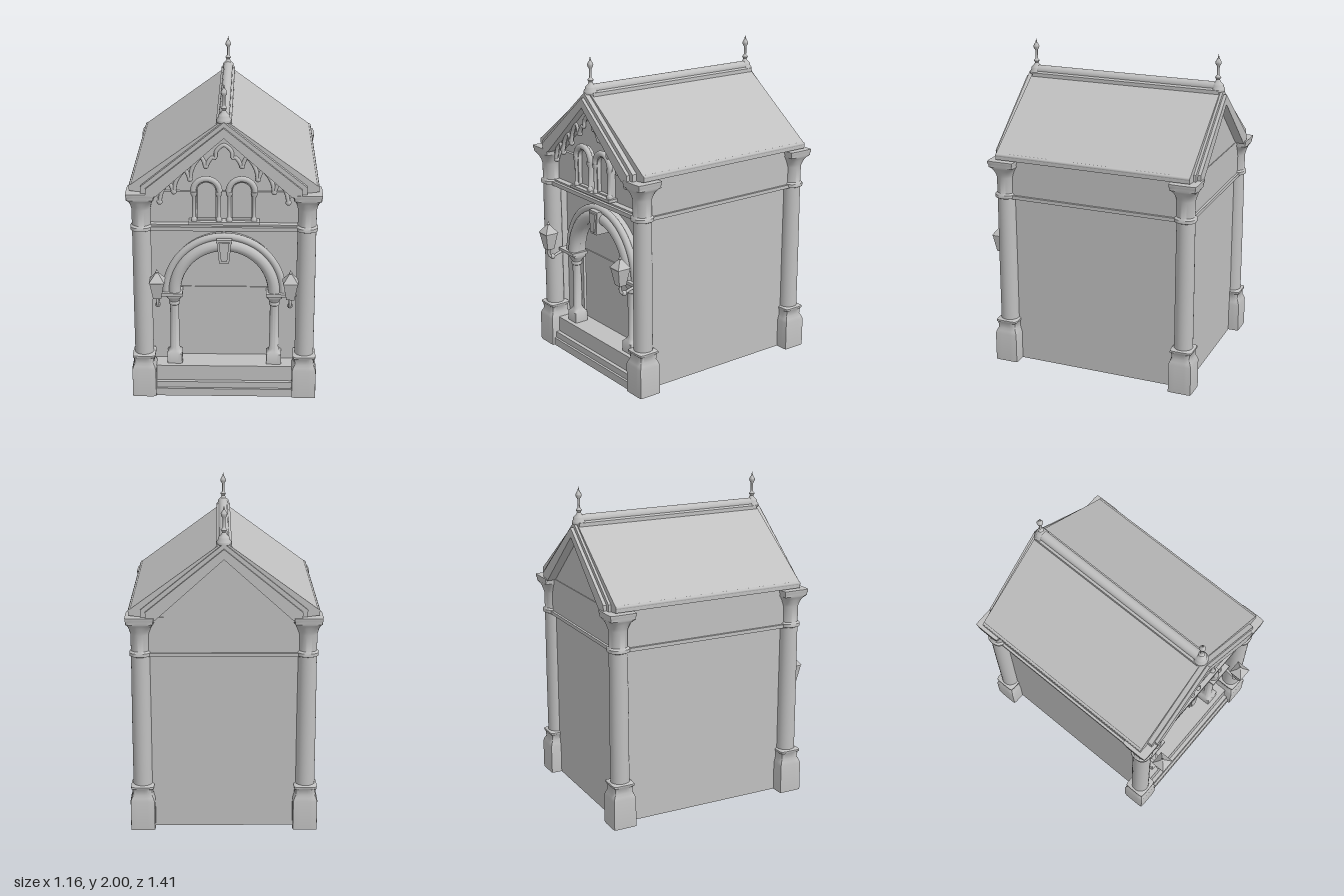
import * as THREE from 'three';
import { toCreasedNormals } from 'three/addons/utils/BufferGeometryUtils.js';

const stone = new THREE.MeshStandardMaterial({ color: 0xc0c0c0, side: THREE.DoubleSide });
stone.name = 'stone';

export function createModel() {
  const root = new THREE.Group();
  root.name = 'gabledPavilion';

  const add = (name, geo, x = 0, y = 0, z = 0, parent = root) => {
    const m = new THREE.Mesh(geo, stone);
    m.name = name;
    m.position.set(x, y, z);
    parent.add(m);
    return m;
  };
  // box given by its lower and upper corners
  const block = (name, x0, x1, y0, y1, z0, z1, parent = root) =>
    add(name, new THREE.BoxGeometry(x1 - x0, y1 - y0, z1 - z0), (x0 + x1) / 2, (y0 + y1) / 2, (z0 + z1) / 2, parent);
  const poly = pts => new THREE.Shape(pts.map(p => new THREE.Vector2(p[0], p[1])));
  const extrude = (shape, depth) => new THREE.ExtrudeGeometry(shape, { depth, bevelEnabled: false, curveSegments: 24 });
  const lathe = (pts, seg = 20) =>
    toCreasedNormals(new THREE.LatheGeometry(pts.map(p => new THREE.Vector2(p[0], p[1])), seg), 0.7);
  const tube = (pts, r, seg = 24) =>
    new THREE.TubeGeometry(new THREE.CatmullRomCurve3(pts.map(p => new THREE.Vector3(...p))), seg, r, 8);

  // loft of superellipse sections [y, half width, exponent]: 2 is round, 20 is square
  const loft = sections => {
    const n = 32, pos = [], idx = [];
    for (const [y, r, e] of sections) {
      for (let i = 0; i <= n; i++) {
        const a = (i / n) * Math.PI * 2, c = Math.cos(a), s = Math.sin(a);
        const k = r / Math.pow(Math.abs(c) ** e + Math.abs(s) ** e, 1 / e);
        pos.push(c * k, y, s * k);
      }
    }
    for (let j = 0; j < sections.length - 1; j++) {
      for (let i = 0; i < n; i++) {
        const a = j * (n + 1) + i, b = a + n + 1;
        idx.push(a, b, a + 1, b, b + 1, a + 1);
      }
    }
    const g = new THREE.BufferGeometry();
    g.setAttribute('position', new THREE.Float32BufferAttribute(pos, 3));
    g.setIndex(idx);
    return toCreasedNormals(g, 0.8);
  };

  // corner pillars with square plinth, round shaft and square capital
  const pillar = loft([
    [0, 0.075, 20], [0.185, 0.075, 20], [0.205, 0.069, 14], [0.225, 0.064, 5], [0.26, 0.064, 8],
    [0.266, 0.07, 14], [0.278, 0.07, 10], [0.285, 0.058, 2], [0.7, 0.058, 2], [1.1, 0.056, 2],
    [1.105, 0.065, 2.5], [1.125, 0.065, 2.5], [1.135, 0.056, 2], [1.235, 0.057, 2], [1.255, 0.062, 2.2],
    [1.28, 0.069, 3], [1.297, 0.077, 5], [1.308, 0.084, 12], [1.32, 0.082, 16], [1.33, 0.086, 20], [1.346, 0.086, 20], [1.35, 0.001, 20],
  ]);
  for (const x of [-0.495, 0.495]) for (const z of [0.565, -0.615]) add('cornerPillar', pillar, x, 0, z);

  // side walls with frieze and string course
  for (const s of [-1, 1]) {
    const side = new THREE.Group();
    side.name = s > 0 ? 'leftWall' : 'rightWall';
    root.add(side);
    const xs = (a, b) => (s > 0 ? [a, b] : [-b, -a]);
    block('wallPanel', ...xs(0.475, 0.485), 0, 1.1, -0.6, 0.55, side);
    block('wallFrieze', ...xs(0.47, 0.515), 1.1, 1.345, -0.6, 0.55, side);
    block('wallStringCourse', ...xs(0.48, 0.53), 1.1, 1.122, -0.6, 0.55, side);
  }

  // back wall
  block('backWall', -0.47, 0.47, 0, 1.1, -0.62, -0.61);
  block('backFrieze', -0.47, 0.47, 1.1, 1.34, -0.64, -0.61);
  block('backStringCourse', -0.45, 0.45, 1.1, 1.122, -0.655, -0.61);

  // front wall with arched doorway
  const arch = (w, y0, yc, r, ky = 1) => {
    const p = new THREE.Path();
    p.moveTo(-w, y0);
    p.lineTo(w, y0);
    p.absellipse(0, yc, r, r * ky, 0, Math.PI, false);
    p.lineTo(-w, y0);
    return p;
  };
  const wall = poly([[-0.47, 0.1], [0.47, 0.1], [0.47, 1.1], [-0.47, 1.1]]);
  wall.holes.push(arch(0.29, 0.19, 0.67, 0.29, 0.95));
  add('frontWall', extrude(wall, 0.02), 0, 0, 0.45);
  block('doorPanel', -0.46, 0.46, 0.19, 0.66, 0.415, 0.425);
  block('doorTympanum', -0.46, 0.46, 0.66, 1.0, 0.41, 0.418);
  block('frontFrieze', -0.45, 0.45, 1.1, 1.33, 0.52, 0.54);
  block('frontStringCourse', -0.44, 0.44, 1.1, 1.125, 0.46, 0.6);
  block('friezeLedge', -0.44, 0.44, 1.125, 1.135, 0.53, 0.58);

  // entrance steps
  block('lowerStep', -0.43, 0.43, 0, 0.05, 0.415, 0.625);
  block('middleStep', -0.43, 0.43, 0.05, 0.09, 0.415, 0.61);
  block('upperStep', -0.43, 0.43, 0.09, 0.19, 0.415, 0.585);

  // moulded arch around the doorway
  const ring = (name, r0, r1, z0, z1) => {
    const s = new THREE.Shape();
    s.absarc(0, 0, r1, 0, Math.PI, false);
    s.lineTo(-r0, 0);
    s.absarc(0, 0, r0, Math.PI, 0, true);
    add(name, extrude(s, z1 - z0), 0, 0.67, z0).scale.y = 1.03;
  };
  ring('archBand', 0.275, 0.365, 0.46, 0.525);
  for (const [r, t] of [[0.358, 0.022], [0.305, 0.038]]) {
    add('archMoulding', new THREE.TorusGeometry(r, t, 12, 40, Math.PI), 0, 0.67, 0.527).scale.y = 1.03;
  }
  add('keystone', extrude(poly([[-0.03, 0.885], [0.03, 0.885], [0.046, 1.035], [-0.046, 1.035]]), 0.115), 0, 0, 0.465);
  add('keystoneFace', extrude(poly([[-0.018, 0.9], [0.018, 0.9], [0.032, 1.02], [-0.032, 1.02]]), 0.01), 0, 0, 0.58);

  // doorway columns and imposts
  const colonette = loft([
    [0.19, 0.047, 20], [0.255, 0.047, 20], [0.268, 0.036, 6], [0.28, 0.034, 2], [0.29, 0.029, 2], [0.58, 0.027, 2],
    [0.585, 0.033, 2], [0.6, 0.033, 2], [0.605, 0.03, 2], [0.63, 0.04, 4], [0.64, 0.046, 10], [0.655, 0.046, 20],
  ]);
  // wall lantern
  const lanternBody = new THREE.CylinderGeometry(0.06, 0.034, 0.105, 4, 1).rotateY(Math.PI / 4).toNonIndexed();
  lanternBody.computeVertexNormals();
  const lanternRoof = new THREE.CylinderGeometry(0.008, 0.066, 0.055, 4, 1).rotateY(Math.PI / 4).toNonIndexed();
  lanternRoof.computeVertexNormals();
  for (const s of [-1, 1]) {
    add('doorColumn', colonette, s * 0.308, 0, 0.51);
    block('impost', s * 0.34 - 0.085, s * 0.34 + 0.085, 0.655, 0.675, 0.46, 0.57);

    const lantern = new THREE.Group();
    lantern.name = s > 0 ? 'leftLantern' : 'rightLantern';
    lantern.position.set(s * 0.4, 0, 0.66);
    root.add(lantern);
    add('lanternBody', lanternBody, 0, 0.745, 0, lantern);
    add('lanternRim', new THREE.BoxGeometry(0.088, 0.008, 0.08), 0, 0.8, 0, lantern);
    add('lanternRoof', lanternRoof, 0, 0.83, 0, lantern);
    add('lanternTip', lathe([[0.006, 0.85], [0.011, 0.86], [0.004, 0.868], [0, 0.882]], 10), 0, 0, 0, lantern);
    add('lanternHook', tube([[0, 0.7, 0], [0, 0.65, 0], [0, 0.632, -0.022], [0, 0.645, -0.06], [0, 0.66, -0.12]], 0.009), 0, 0, 0, lantern);
    add('hookKnob', new THREE.SphereGeometry(0.017, 12, 8), 0, 0.634, -0.025, lantern);
  }

  // twin arched windows
  const frame = new THREE.Shape(arch(0.082, 1.16, 1.345, 0.082).getPoints(24));
  frame.holes.push(arch(0.054, 1.17, 1.345, 0.054));
  const frameGeo = extrude(frame, 0.035);
  const paneGeo = extrude(new THREE.Shape(arch(0.056, 1.165, 1.345, 0.056).getPoints(24)), 0.008);
  const shaft = lathe([[0.018, 1.16], [0.018, 1.175], [0.011, 1.185], [0.011, 1.31], [0.018, 1.325], [0.02, 1.345], [0, 1.345]], 12);
  for (const x of [-0.105, 0.105]) {
    add('windowFrame', frameGeo, x, 0, 0.54);
    add('windowPane', paneGeo, x, 0, 0.542);
    add('windowHood', new THREE.TorusGeometry(0.078, 0.018, 10, 28, Math.PI), x, 1.345, 0.576);
    for (const d of [-0.074, 0.074]) add('windowColumn', shaft, x + d, 0, 0.578);
  }
  block('windowSill', -0.21, 0.21, 1.142, 1.16, 0.53, 0.605);

  // gable walls and raking cornices at both ends
  const gable = extrude(poly([[-0.45, 1.32], [0.45, 1.32], [0, 1.74]]), 0.015);
  add('frontGable', gable, 0, 0, 0.5);
  add('backGable', gable, 0, 0, -0.635);
  const rake = (t, d) => extrude(poly([
    [0, 1.785 - t], [0.49 - t, 1.39 - t * 0.3], [0.49 - t, 1.335], [0.4, 1.335],
    [0, 1.695], [-0.4, 1.335], [-0.49 + t, 1.335], [-0.49 + t, 1.39 - t * 0.3],
  ]), d);
  add('frontRake', rake(0, 0.13), 0, 0, 0.5);
  add('frontRakeFillet', rake(0.03, 0.02), 0, 0, 0.63);
  add('backRake', rake(0, 0.08), 0, 0, -0.67);
  add('backRakeFillet', rake(0.03, 0.02), 0, 0, -0.69);

  // scalloped trim hanging below the front rake
  const cusps = [[0.38, 1.285], [0.296, 1.35], [0.2, 1.43], [0.106, 1.51]];
  const edge = [];
  for (let i = 0; i < 3; i++) {
    const [ax, ay] = cusps[i], [bx, by] = cusps[i + 1];
    edge.push([ax, ay], [ax - 0.012, ay + 0.055], [(ax + bx) / 2 + 0.012, (ay + by) / 2 + 0.062],
      [bx + 0.028, by + 0.055], [bx + 0.012, by + 0.03]);
  }
  edge.push([0.106, 1.51], [0.085, 1.545], [0.066, 1.565], [0.05, 1.56], [0.045, 1.6], [0.022, 1.628]);
  const fullEdge = [...edge, [0, 1.64], ...edge.map(([x, y]) => [-x, y]).reverse()];
  add('scallopedTrim', extrude(poly([...fullEdge, [-0.41, 1.35], [0, 1.72], [0.41, 1.35]]), 0.02), 0, 0, 0.58);
  add('scallopBead', tube(fullEdge.map(([x, y]) => [x, y, 0.6]), 0.012, 160));
  for (const s of [-1, 1]) for (const [x, y] of cusps) add('trimDrop', new THREE.SphereGeometry(0.018, 10, 8), s * x, y, 0.595);

  // roof with eaves and ridge roll
  add('roof', extrude(poly([
    [0, 1.795], [0.56, 1.385], [0.56, 1.355], [0.44, 1.34], [0, 1.74],
    [-0.44, 1.34], [-0.56, 1.355], [-0.56, 1.385],
  ]), 1.255), 0, 0, -0.655);
  for (const s of [-1, 1]) {
    add('eaveRoll', new THREE.CylinderGeometry(0.012, 0.012, 1.255, 10).rotateX(Math.PI / 2), s * 0.55, 1.382, -0.0275);
  }
  add('ridgeRoll', new THREE.CylinderGeometry(0.032, 0.032, 1.22, 16).rotateX(Math.PI / 2), 0, 1.798, -0.03);
  add('ridgeCap', extrude(poly([[0, 1.815], [0.045, 1.785], [0.045, 1.755], [0, 1.79], [-0.045, 1.755], [-0.045, 1.785]]), 1.24), 0, 0, -0.65);

  // ridge finials
  const finial = lathe([
    [0.044, 1.775], [0.044, 1.79], [0.036, 1.8], [0.034, 1.815], [0.018, 1.83], [0.011, 1.845], [0.019, 1.858], [0.008, 1.872],
    [0.008, 1.925], [0.017, 1.94], [0.019, 1.952], [0.012, 1.965], [0.006, 1.975], [0, 2],
  ], 16);
  for (const z of [0.58, -0.632]) add('finial', finial, 0, 0, z);

  return root;
}
